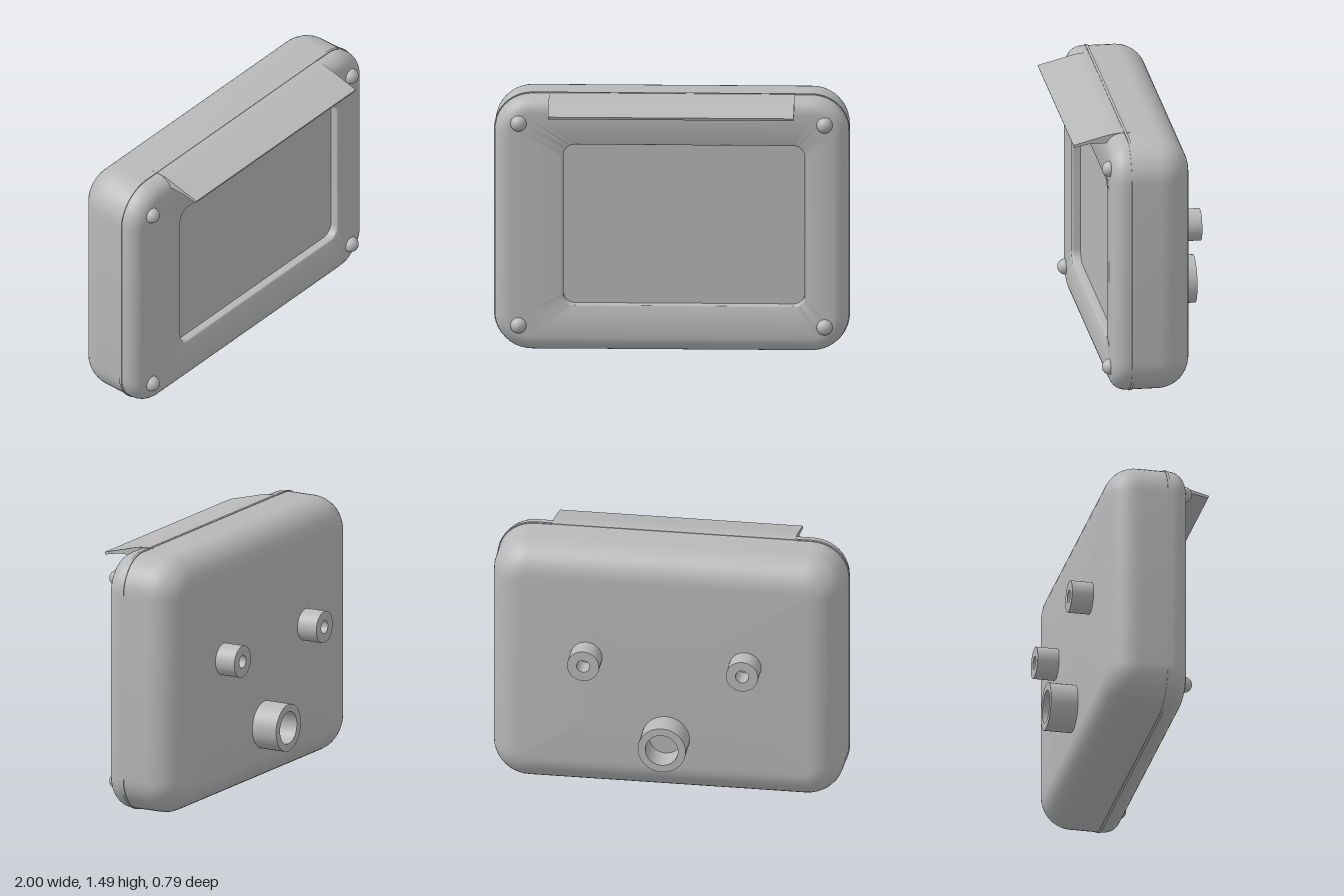
import * as THREE from 'three';
import { toCreasedNormals } from 'three/addons/utils/BufferGeometryUtils.js';

const CORNER_STEPS = 10;

// Rounded rectangle as a counter-clockwise loop at depth z
function loop(cx, cy, hw, hh, r, z) {
  const pts = [];
  for (let q = 0; q < 4; q++) {
    const sx = q === 0 || q === 3 ? 1 : -1, sy = q < 2 ? 1 : -1;
    for (let i = 0; i <= CORNER_STEPS; i++) {
      const a = (q + i / CORNER_STEPS) * Math.PI / 2;
      pts.push([cx + sx * (hw - r) + r * Math.cos(a), cy + sy * (hh - r) + r * Math.sin(a), z]);
    }
  }
  return pts;
}

// Skin through the loops, with both ends closed
function loft(loops) {
  const n = loops[0].length, pos = loops.flat(2), index = [];
  for (let i = 0; i < loops.length - 1; i++) {
    for (let j = 0; j < n; j++) {
      const a = i * n + j, b = i * n + (j + 1) % n;
      index.push(a, b, b + n, a, b + n, a + n);
    }
  }
  const centre = (l) => [(l[0][0] + l[2 * CORNER_STEPS + 2][0]) / 2, (l[0][1] + l[2 * CORNER_STEPS + 2][1]) / 2, l[0][2]];
  const last = loops.length - 1, c0 = loops.length * n;
  pos.push(...centre(loops[0]), ...centre(loops[last]));
  for (let j = 0; j < n; j++) {
    const k = (j + 1) % n;
    index.push(c0, k, j, c0 + 1, last * n + j, last * n + k);
  }
  const g = new THREE.BufferGeometry();
  g.setAttribute('position', new THREE.Float32BufferAttribute(pos, 3));
  g.setIndex(index);
  return toCreasedNormals(g, 0.6);
}

export function createModel() {
  const group = new THREE.Group();
  const grey = new THREE.MeshStandardMaterial({ color: 0xb8b8b8 });
  grey.name = 'grey';
  const add = (name, geometry, x = 0, y = 0, z = 0) => {
    const mesh = new THREE.Mesh(geometry, grey);
    mesh.name = name;
    mesh.position.set(x, y, z);
    group.add(mesh);
  };

  // Housing: broad back rounding, seam, front rounding, recessed panel
  const loops = [];
  const outer = (inset, z) =>
    loops.push(loop(0, 0.745, 0.995 - inset, 0.74 - inset, 0.21 - inset, z));
  const panel = (grow, z) =>
    loops.push(loop(0.07, 0.748, 0.678 + grow, 0.466 + grow, 0.065 + grow, z));
  const R = 0.175, F = 0.09, B = 0.012;
  for (let i = 0; i <= 10; i++) {
    const a = i / 10 * Math.PI / 2;
    outer(R * (1 - Math.sin(a)), -0.24 + R * (1 - Math.cos(a)));
  }
  outer(0, 0.088);
  outer(-0.005, 0.088);
  outer(-0.005, 0.103);
  outer(0, 0.103);
  for (let i = 0; i <= 8; i++) {
    const a = i / 8 * Math.PI / 2;
    outer(F * (1 - Math.cos(a)), 0.21 - F + F * Math.sin(a));
  }
  for (let i = 0; i <= 4; i++) {
    const a = i / 4 * Math.PI / 2;
    panel(B * (1 - Math.sin(a)), 0.21 - B + B * Math.cos(a));
  }
  panel(0, 0.16);
  add('housing', loft(loops));

  // Visor over the front edge
  const s = new THREE.Shape();
  s.moveTo(0.06, 1.484);
  s.lineTo(0.06, 1.43);
  s.lineTo(0.3, 1.43);
  s.lineTo(0.387, 1.412);
  s.lineTo(0.392, 1.426);
  s.lineTo(0.2, 1.476);
  s.quadraticCurveTo(0.13, 1.494, 0.06, 1.484);
  const visor = new THREE.ExtrudeGeometry(s, { depth: 1.38, bevelEnabled: false, curveSegments: 8 });
  visor.rotateY(-Math.PI / 2);
  add('visor', toCreasedNormals(visor, 0.5), 0.69);

  // Domed screws at the front corners
  for (const x of [-0.86, 0.86]) {
    for (const y of [0.16, 1.337]) add('screwHead', new THREE.SphereGeometry(0.045, 24, 16), x, y, 0.21);
  }

  // Hollow sockets on the back
  const socket = (r, hole, length) => {
    const profile = [[r, -0.01], [r, length], [hole, length], [hole, -0.01]].map((p) => new THREE.Vector2(...p));
    const g = new THREE.LatheGeometry(profile, 40);
    g.rotateX(-Math.PI / 2);
    return toCreasedNormals(g, 0.6);
  };
  for (const x of [-0.455, 0.447]) add('smallSocket', socket(0.091, 0.037, 0.123), x, 0.835, -0.24);
  add('largeSocket', socket(0.136, 0.093, 0.155), -0.004, 0.355, -0.24);

  return group;
}
